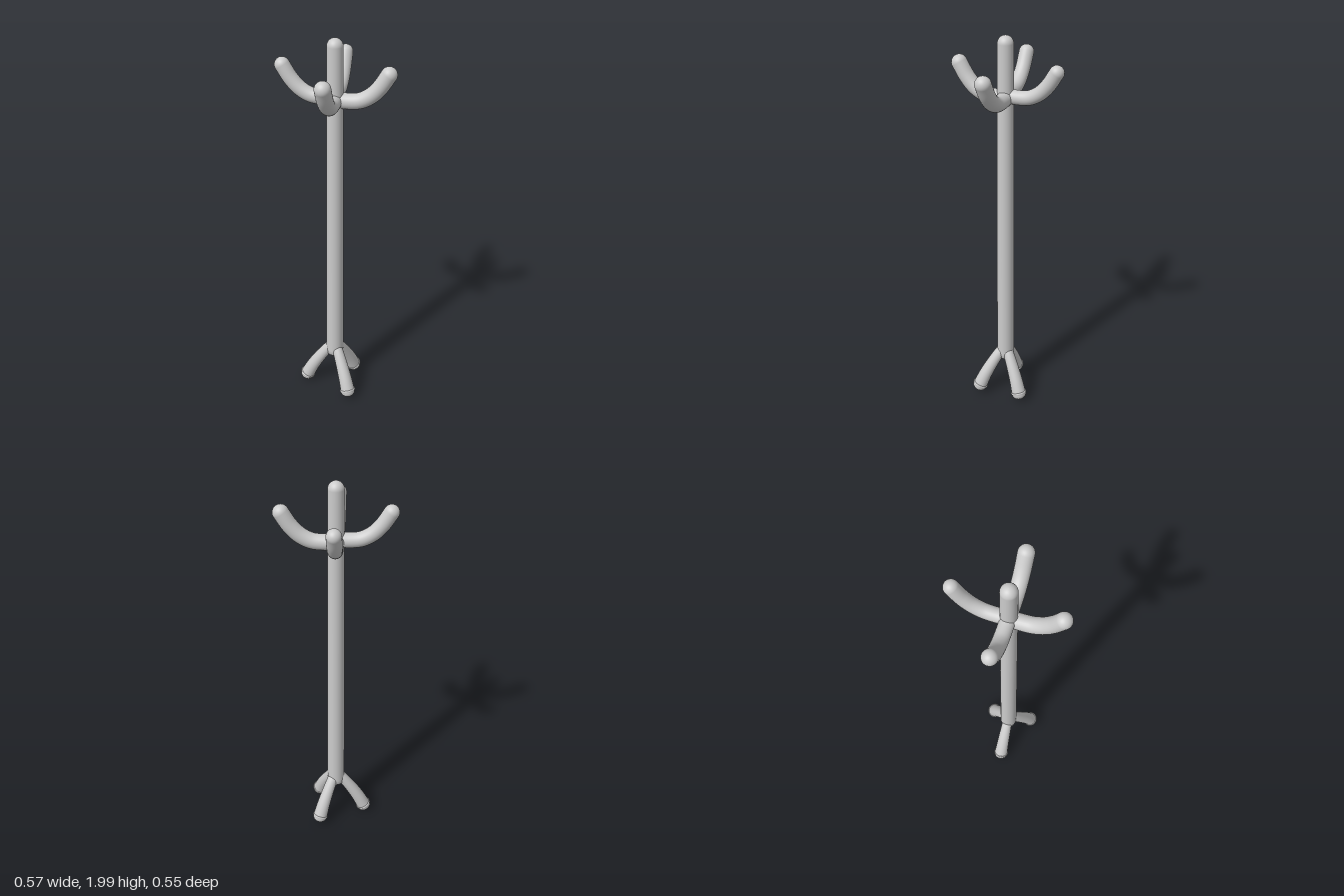
import * as THREE from 'three';

const material = new THREE.MeshStandardMaterial({ color: 0xcccccc });
const UP = new THREE.Vector3(0, 1, 0);

function add(parent, geometry, name) {
  const mesh = new THREE.Mesh(geometry, material);
  mesh.name = name;
  parent.add(mesh);
  return mesh;
}

// Tube along a curve whose radius runs from r0 to r1
function taperedTube(curve, r0, r1, segments = 32, sides = 28) {
  const geometry = new THREE.TubeGeometry(curve, segments, 1, sides, false);
  const pos = geometry.attributes.position;
  const v = new THREE.Vector3();
  for (let i = 0; i <= segments; i++) {
    const t = i / segments;
    const centre = curve.getPointAt(t);
    const r = THREE.MathUtils.lerp(r0, r1, t);
    for (let j = 0; j <= sides; j++) {
      const k = i * (sides + 1) + j;
      v.fromBufferAttribute(pos, k).sub(centre).multiplyScalar(r).add(centre);
      pos.setXYZ(k, v.x, v.y, v.z);
    }
  }
  return geometry;
}

// Curve from [outward, height] pairs along a horizontal direction
function radialCurve(points, dx, dz, cx = 0, cz = 0) {
  return new THREE.CatmullRomCurve3(
    points.map(([d, y]) => new THREE.Vector3(cx + d * dx, y, cz + d * dz)));
}

// Place a +y facing part on the end of a curve
function placeAtEnd(mesh, curve) {
  mesh.position.copy(curve.getPointAt(1));
  mesh.quaternion.setFromUnitVectors(UP, curve.getTangentAt(1).normalize());
}

const lathe = (points, sides = 36) =>
  new THREE.LatheGeometry(points.map(([r, y]) => new THREE.Vector2(r, y)), sides);

export function createModel() {
  const model = new THREE.Group();
  model.name = 'coatStand';
  const axisZ = 0.004;

  // Tapered pole with a domed top and closed foot
  const profile = [[0, 0.218], [0.03, 0.22], [0.042, 0.232], [0.046, 0.26], [0.038, 1.962]];
  for (let i = 1; i <= 8; i++) {
    const a = (i / 8) * Math.PI / 2;
    profile.push([0.038 * Math.cos(a), 1.962 + 0.038 * Math.sin(a)]);
  }
  add(model, lathe(profile), 'pole').position.z = axisZ;

  // Four upturned hooks with rounded tips
  const hookPath = [[0, 1.711], [0.06, 1.708], [0.115, 1.715], [0.165, 1.742], [0.207, 1.786], [0.246, 1.848]];
  const hooks = [
    { name: 'leftHook', dx: 1, dz: 0, lift: 0, reach: 1, cx: 0, cz: 0, r: 0.038 },
    { name: 'rightHook', dx: -1, dz: 0, lift: 0.011, reach: 1, cx: 0, cz: 0.004, r: 0.036 },
    { name: 'frontHook', dx: 0, dz: 1, lift: 0, reach: 0.965, cx: 0, cz: 0, r: 0.038 },
    { name: 'backHook', dx: 0, dz: -1, lift: 0.009, reach: 0.985, cx: -0.004, cz: 0, r: 0.035 },
  ];
  for (const h of hooks) {
    const hook = new THREE.Group();
    hook.name = h.name;
    model.add(hook);
    const curve = radialCurve(hookPath.map(([d, y]) => [d * h.reach, y + h.lift]), h.dx, h.dz, h.cx, h.cz);
    add(hook, taperedTube(curve, h.r - 0.001, h.r), 'hookArm');
    const tip = new THREE.SphereGeometry(h.r, 28, 10, 0, Math.PI * 2, 0, Math.PI / 2);
    placeAtEnd(add(hook, tip, 'hookTip'), curve);
  }

  // Three splayed legs, each ending in a rimmed rounded foot
  const legPath = [[0.012, 0.285], [0.045, 0.242], [0.09, 0.175], [0.125, 0.115], [0.155, 0.052]];
  const legs = [
    { name: 'rightLeg', x: -0.155, z: 0.003, drop: 0 },
    { name: 'frontLeg', x: 0.096, z: 0.109, drop: 0.012 },
    { name: 'backLeg', x: 0.081, z: -0.114, drop: 0.013 },
  ];
  const footProfile = [[0.036, -0.006], [0.041, -0.005], [0.042, 0], [0.041, 0.004]];
  for (let i = 0; i <= 8; i++) {
    const a = (i / 8) * Math.PI / 2;
    footProfile.push([0.039 * Math.cos(a), 0.005 + 0.033 * Math.sin(a)]);
  }
  for (const l of legs) {
    const leg = new THREE.Group();
    leg.name = l.name;
    model.add(leg);
    const length = Math.hypot(l.x, l.z);
    const scale = length / 0.155;
    const curve = radialCurve(
      legPath.map(([d, y], i) => [d * scale, y + l.drop * i / 4]),
      l.x / length, l.z / length, 0, axisZ);
    add(leg, taperedTube(curve, 0.027, 0.038), 'legTube');
    const top = new THREE.SphereGeometry(0.027, 24, 16);
    add(leg, top, 'legTop').position.copy(curve.getPointAt(0));
    placeAtEnd(add(leg, lathe(footProfile, 28), 'foot'), curve);
  }
  return model;
}
